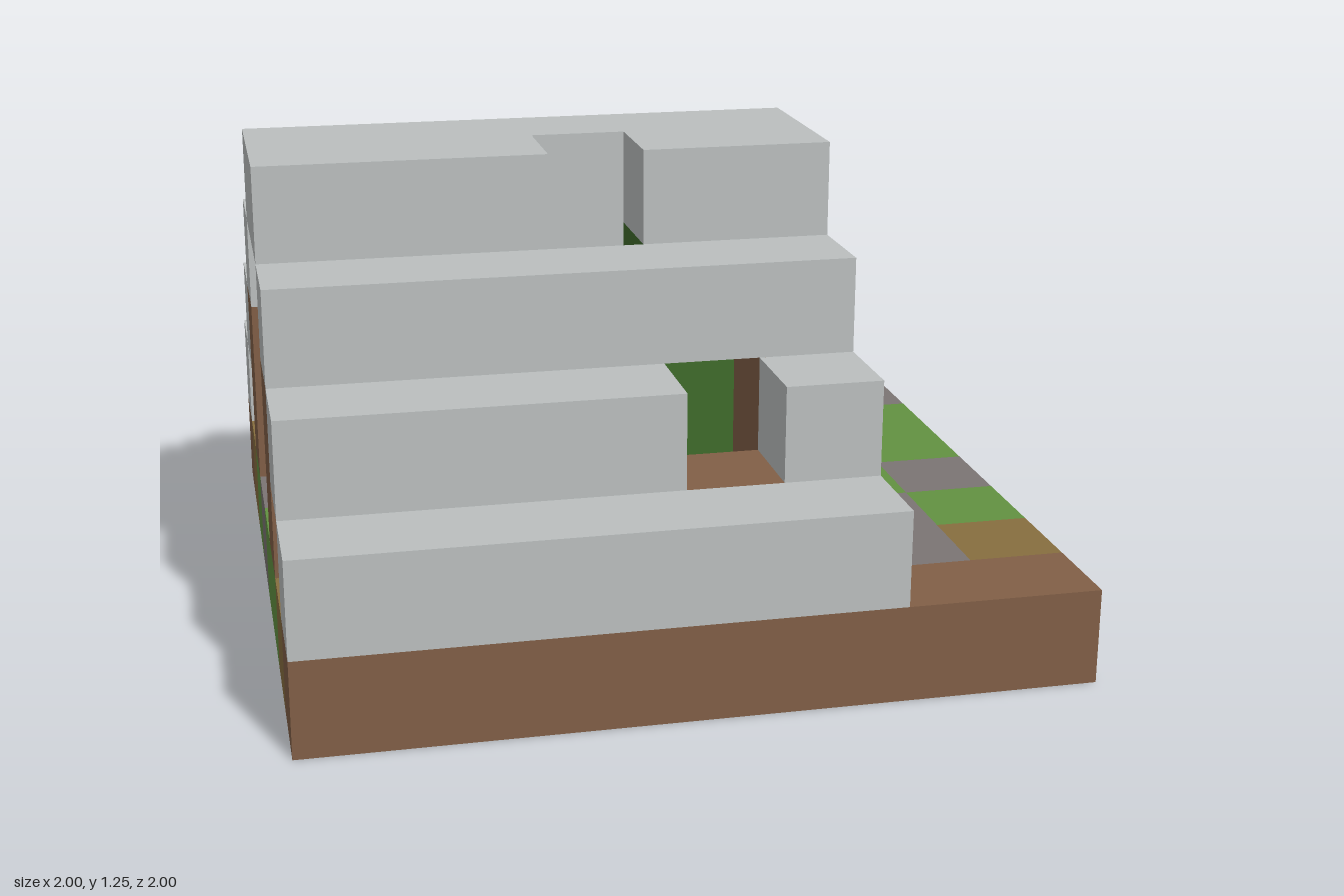
import * as THREE from 'three';

const U = 0.25; // one block

const mat = (name, color) => {
  const m = new THREE.MeshStandardMaterial({ color });
  m.name = name;
  return m;
};

export function createModel() {
  const group = new THREE.Group();
  const roofGrey = mat('pale roof grey', 0xbbbfbf);
  const leaf = mat('dark leaf green', 0x3f6b2b);
  const red = mat('red', 0x8c2020);
  const floor = {
    B: mat('earth brown', 0x815f46),
    T: mat('dry tan', 0x876e3f),
    G: mat('grass green', 0x629141),
    S: mat('stone grey', 0x7b7573),
  };

  // Box spanning whole blocks: start cell (i, k, j) and size (w, h, d)
  const blocks = (name, material, i, k, j, w = 1, h = 1, d = 1) => {
    const mesh = new THREE.Mesh(new THREE.BoxGeometry(w * U, h * U, d * U), material);
    mesh.position.set((i + w / 2) * U - 1, (k + h / 2) * U, (j + d / 2) * U - 1);
    mesh.name = name;
    group.add(mesh);
  };

  // Ground: rows from back to front, equal neighbours joined into one box
  const rows = [
    'BBBBBBBB',
    'TGGGGGSS',
    'GGTGGGGG',
    'STGGGGSG',
    'GGGTTGGS',
    'GTTGGGSG',
    'TTTTTSST',
    'BBBBBBBB',
  ];
  rows.forEach((row, j) => {
    for (let i = 0; i < 8;) {
      let end = i + 1;
      while (row[end] === row[i]) end++;
      blocks('ground', floor[row[i]], i, 0, j, end - i);
      i = end;
    }
  });

  // Stepped roof courses: [row, level, column of the missing block or -1]
  const courses = [[0, 1, -1], [1, 2, 3], [2, 3, 2], [3, 4, -1], [4, 4, 3], [5, 3, -1], [6, 2, 4], [7, 1, -1]];
  for (const [j, k, gap] of courses) {
    if (gap < 0) {
      blocks('roofCourse', roofGrey, 0, k, j, 6);
    } else {
      blocks('roofCourse', roofGrey, 0, k, j, gap);
      blocks('roofCourse', roofGrey, gap + 1, k, j, 5 - gap);
    }
  }

  // Timber posts at both open ends
  for (const i of [0, 5]) for (const j of [2, 5]) blocks('post', floor.B, i, 1, j, 1, 2, 1);

  // Leafy end wall, inner pillar and loose blocks
  blocks('endWall', leaf, 5, 1, 3, 1, 3, 2);
  blocks('innerPillar', leaf, 4, 1, 4, 1, 3, 1);
  blocks('cornerBush', leaf, 5, 1, 6);
  blocks('outerBush', leaf, 6, 1, 0);
  blocks('looseBlock', floor.B, 4, 1, 6);
  blocks('redBlock', red, 1, 1, 2);

  return group;
}
